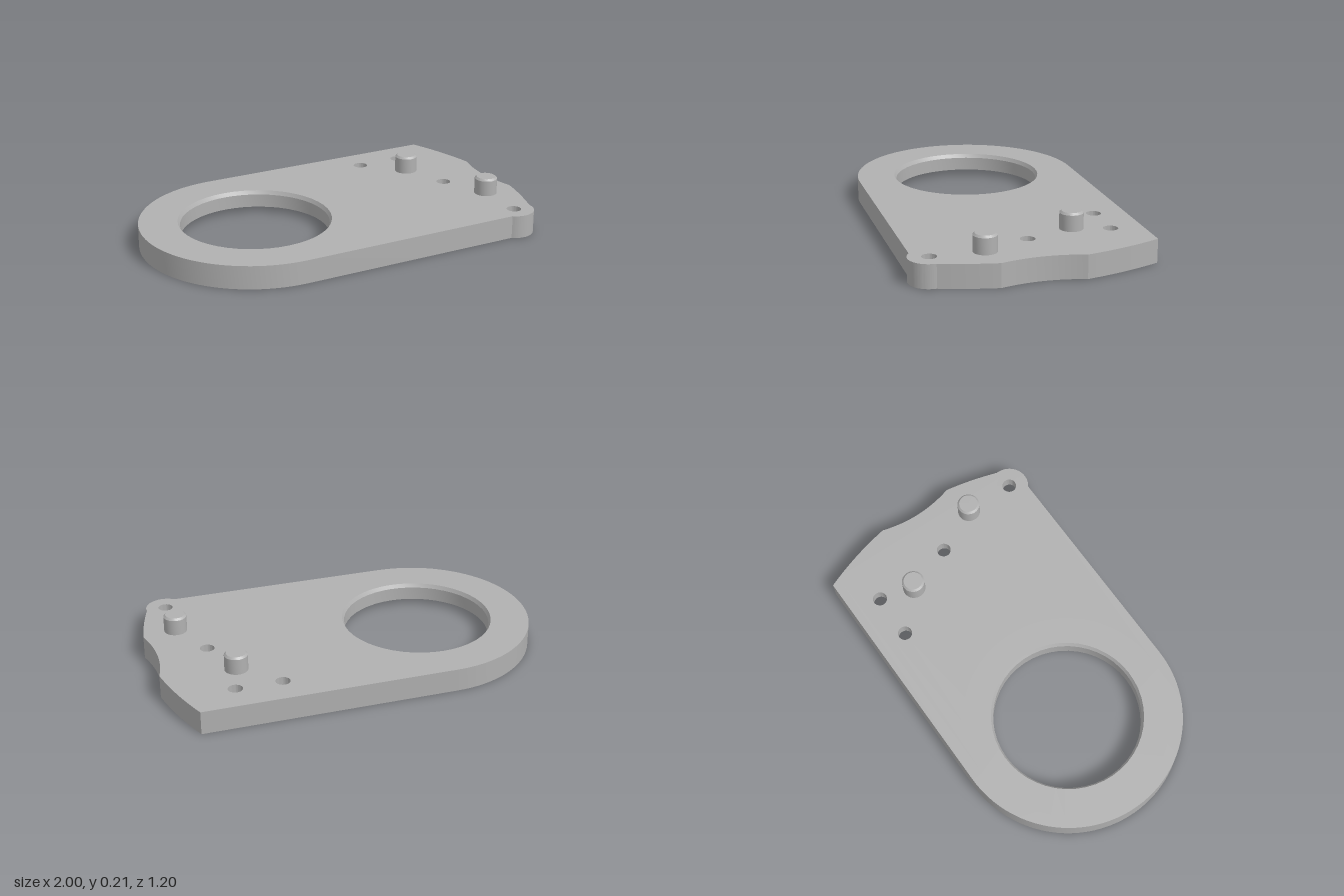
import * as THREE from 'three';
import { toCreasedNormals } from 'three/addons/utils/BufferGeometryUtils.js';

const THICK = 0.12;
const BORE = { x: -0.41, z: -0.011, r: 0.53 };
const SCREWS = [[0.44, -0.44], [0.677, -0.44], [0.715, -0.008], [0.825, 0.497]];
const PINS = [[0.626, -0.257], [0.826, 0.232]];
const SINK_R = 0.07;

export function createModel() {
  const group = new THREE.Group();
  group.name = 'mountingPlate';
  const metal = new THREE.MeshStandardMaterial({ color: 0xb0b0b0 });
  metal.name = 'grey metal';

  const add = (name, geometry, x = 0, z = 0) => {
    const mesh = new THREE.Mesh(toCreasedNormals(geometry, 0.4), metal);
    mesh.name = name;
    mesh.position.set(x, 0, z);
    group.add(mesh);
  };
  const lathe = (profile, segments) =>
    new THREE.LatheGeometry(profile.map(([r, y]) => new THREE.Vector2(r, y)), segments);

  // Plate outline, drawn in x and z: round end, wavy end and corner lug
  const outline = new THREE.Shape();
  outline.moveTo(BORE.x, -0.6);
  outline.lineTo(0.885, -0.6);
  outline.quadraticCurveTo(0.965, -0.41, 1, -0.21);
  outline.quadraticCurveTo(0.937, -0.005, 1, 0.205);
  outline.quadraticCurveTo(0.978, 0.34, 0.928, 0.487);
  outline.absarc(0.825, 0.497, 0.103, -0.1, 2.24, false);
  outline.lineTo(BORE.x, 0.578);
  outline.absarc(BORE.x, BORE.z, 0.589, Math.PI / 2, Math.PI * 1.5, false);

  const cut = (x, z, r) => {
    const hole = new THREE.Path();
    hole.absarc(x, z, r, 0, Math.PI * 2, true);
    outline.holes.push(hole);
  };
  cut(BORE.x, BORE.z, BORE.r);
  SCREWS.forEach(([x, z]) => cut(x, z, SINK_R));

  const plate = new THREE.ExtrudeGeometry(outline, { depth: THICK, bevelEnabled: false, curveSegments: 24 });
  plate.rotateX(Math.PI / 2).translate(0, THICK, 0);
  add('plate', plate);

  // Ring around the big bore: chamfer above, stepped recess below
  add('boreRing', lathe([
    [BORE.r, THICK], [0.391, THICK], [0.38, 0.1], [0.38, 0.03], [0.435, 0.03],
    [0.435, 0.02], [0.49, 0.02], [0.49, 0.005], [BORE.r, 0.005],
  ], 48), BORE.x, BORE.z);

  // Screw holes, narrow above and counterbored below
  SCREWS.forEach(([x, z]) => add('screwHole', lathe([
    [SINK_R, THICK], [0.037, THICK], [0.037, 0.06], [SINK_R, 0.06],
  ], 48), x, z));

  // Locating pins with chamfered tops
  PINS.forEach(([x, z]) => add('locatingPin', lathe([
    [0.059, 0.11], [0.059, 0.202], [0.049, 0.212], [0, 0.212],
  ], 32), x, z));

  return group;
}
